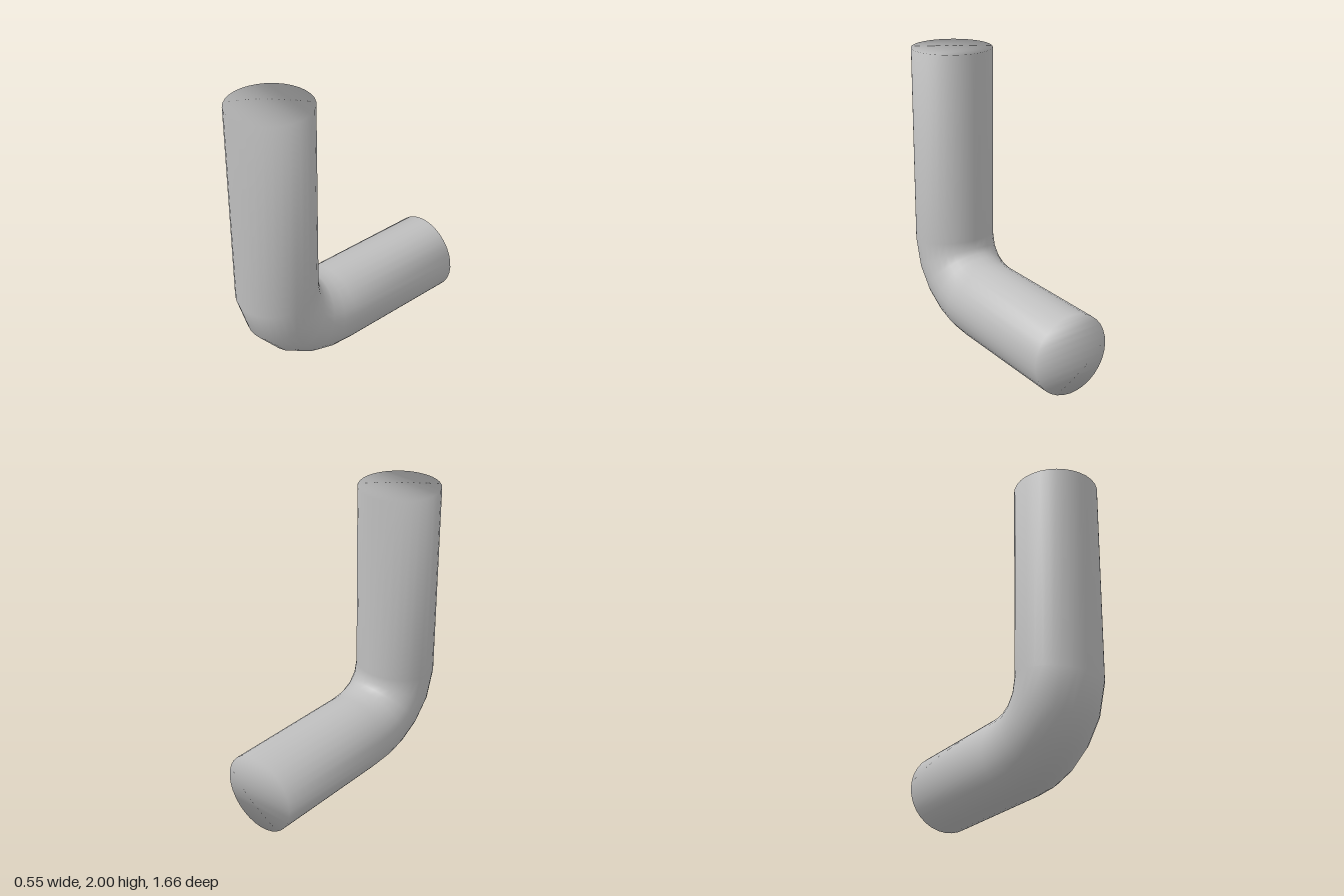
import * as THREE from 'three';

const SIDES = 32;
const RADIUS = 0.277;

// Each section: outer wall z, y then inner wall z, y
const SECTIONS = [
  [0.83, 2, 0.276, 2],
  [0.83, 0.6, 0.281, 0.68],
  [0.752, 0.348, 0.272, 0.622],
  [0.6, 0.17, 0.25, 0.59],
  [0.42, 0.06, 0.21, 0.57],
  [0.26, 0.012, 0.15, 0.558],
  [0.09, 0, 0.09, 0.554],
  [-0.83, 0, -0.83, 0.554],
];

// Loft circular sections into a closed, smooth bent tube
function bentTube(sections) {
  const positions = [];
  const index = [];
  for (const [oz, oy, iz, iy] of sections) {
    for (let i = 0; i < SIDES; i++) {
      const a = (i / SIDES) * Math.PI * 2;
      const t = (1 + Math.cos(a)) / 2;
      positions.push(RADIUS * Math.sin(a), iy + (oy - iy) * t, iz + (oz - iz) * t);
    }
  }
  // Walls
  for (let j = 0; j < sections.length - 1; j++) {
    for (let i = 0; i < SIDES; i++) {
      const n = (i + 1) % SIDES;
      const a = j * SIDES + i, b = j * SIDES + n;
      const c = a + SIDES, d = b + SIDES;
      index.push(a, c, b, b, c, d);
    }
  }
  // End caps share the rim vertices, filled in strips across the disc
  const last = (sections.length - 1) * SIDES;
  for (let i = 0; i < SIDES / 2; i++) {
    const p = i, q = i + 1, r = SIDES - i - 1, s = (SIDES - i) % SIDES;
    const tris = [];
    if (q !== r) tris.push([p, q, r]);
    if (p !== s) tris.push([p, r, s]);
    for (const [a, b, c] of tris) {
      index.push(a, b, c, last + a, last + c, last + b);
    }
  }
  const geometry = new THREE.BufferGeometry();
  geometry.setAttribute('position', new THREE.Float32BufferAttribute(positions, 3));
  geometry.setIndex(index);
  geometry.computeVertexNormals();
  return geometry;
}

export function createModel() {
  const group = new THREE.Group();
  group.name = 'elbowPipe';
  const grey = new THREE.MeshStandardMaterial({ color: 0xbfbfbf });
  grey.name = 'grey';
  const pipe = new THREE.Mesh(bentTube(SECTIONS), grey);
  pipe.name = 'bentPipe';
  group.add(pipe);
  return group;
}
